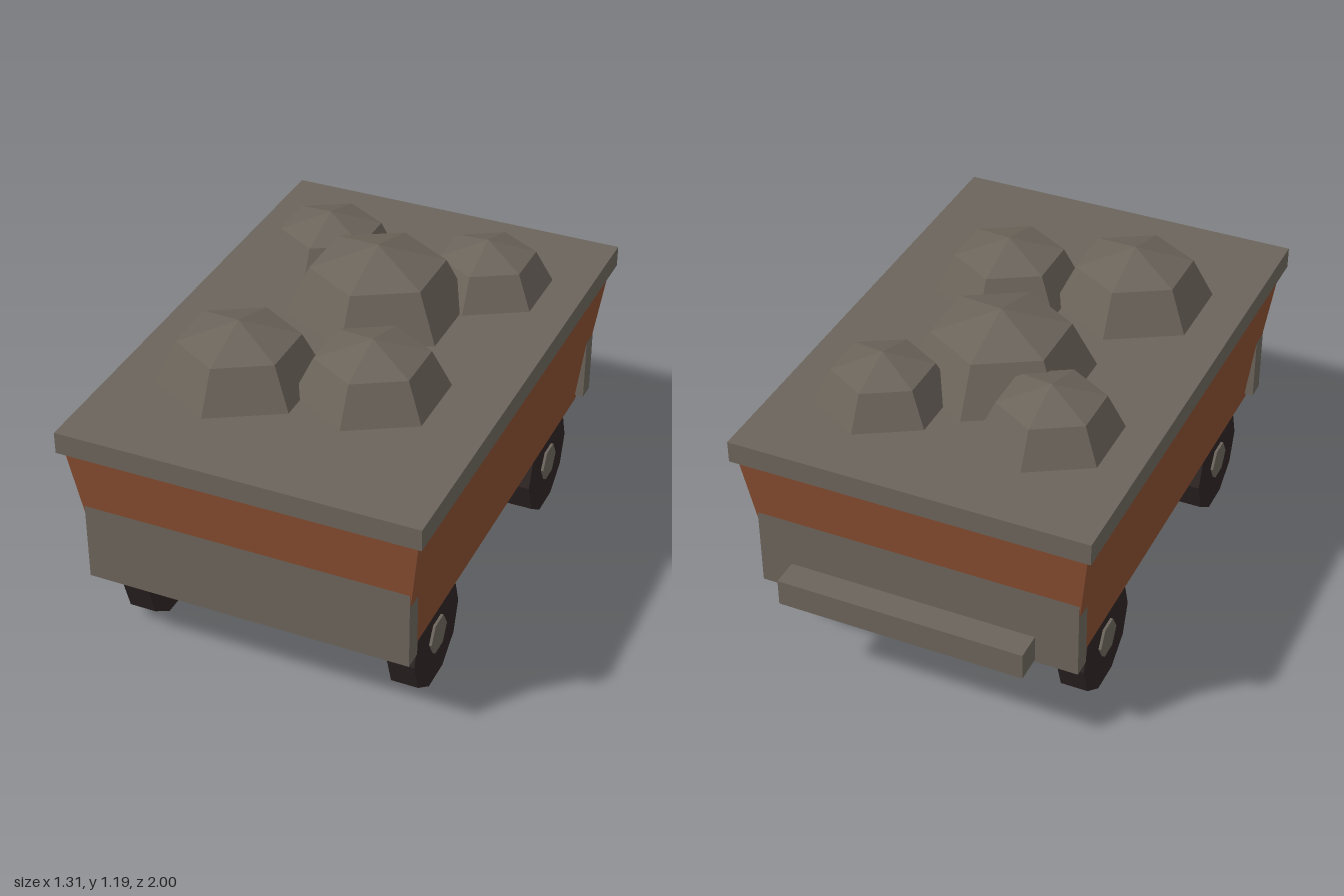
import * as THREE from 'three';

export function createModel() {
  const group = new THREE.Group();
  const material = (name, color) => {
    const m = new THREE.MeshStandardMaterial({ color, flatShading: true });
    m.name = name;
    return m;
  };
  const rust = material('rust', 0x8a4f33);
  const grey = material('stone grey', 0x6b645b);
  const dark = material('dark wheel', 0x2e2424);

  const add = (name, geometry, mat, x, y, z, parent = group) => {
    const mesh = new THREE.Mesh(geometry, mat);
    mesh.name = name;
    mesh.position.set(x, y, z);
    parent.add(mesh);
    return mesh;
  };

  // Tub: a box whose lower corners are drawn in
  const tub = new THREE.BoxGeometry(1.272, 0.57, 1.876);
  const p = tub.attributes.position;
  for (let i = 0; i < p.count; i++) {
    if (p.getY(i) < 0) p.setXYZ(i, Math.sign(p.getX(i)) * 0.558, p.getY(i), Math.sign(p.getZ(i)) * 0.86);
  }
  tub.computeVertexNormals();
  add('tub', tub, rust, 0, 0.58, 0.04);

  // Slab on top, end plates and rear bar
  add('rim', new THREE.BoxGeometry(1.31, 0.08, 1.92), grey, 0, 0.902, 0.04);
  const plate = new THREE.BoxGeometry(1.192, 0.34, 0.07);
  add('frontPlate', plate, grey, 0, 0.497, 0.91);
  add('backPlate', plate, grey, 0, 0.497, -0.83);
  add('rearBar', new THREE.BoxGeometry(0.91, 0.1, 0.1), grey, 0, 0.42, -0.95);

  // Ten-sided wheels with six-sided hubs
  const wheelGeo = new THREE.CylinderGeometry(0.2, 0.2, 0.1, 10).rotateZ(Math.PI / 2);
  const hubGeo = new THREE.CylinderGeometry(0.07, 0.07, 0.12, 6).rotateZ(Math.PI / 2);
  for (const x of [-0.506, 0.506]) {
    for (const z of [0.6, -0.515]) {
      const wheel = new THREE.Group();
      wheel.name = (z > 0 ? 'front' : 'back') + (x > 0 ? 'Left' : 'Right') + 'Wheel';
      wheel.position.set(x, 0.192, z);
      add('tyre', wheelGeo, dark, 0, 0, 0, wheel);
      add('hub', hubGeo, grey, 0, 0, 0, wheel);
      group.add(wheel);
    }
  }

  // Ore lumps: x, z, base radius, shoulder radius, shoulder height, peak height
  const lumps = [
    [-0.25, 0.44, 0.292, 0.214, 1.093, 1.163],
    [0.2, 0.34, 0.272, 0.2, 1.083, 1.145],
    [0, -0.165, 0.335, 0.245, 1.118, 1.195],
    [-0.3, -0.42, 0.252, 0.187, 1.073, 1.133],
    [0.3, -0.47, 0.245, 0.178, 1.065, 1.125],
  ];
  for (const [x, z, base, shoulder, y1, y2] of lumps) {
    const profile = [[base, 0.94], [shoulder, y1], [0, y2]].map(([r, y]) => new THREE.Vector2(r, y));
    const lump = new THREE.LatheGeometry(profile, 6).toNonIndexed();
    lump.computeVertexNormals();
    add('oreLump', lump, grey, x, 0, z);
  }
  return group;
}
